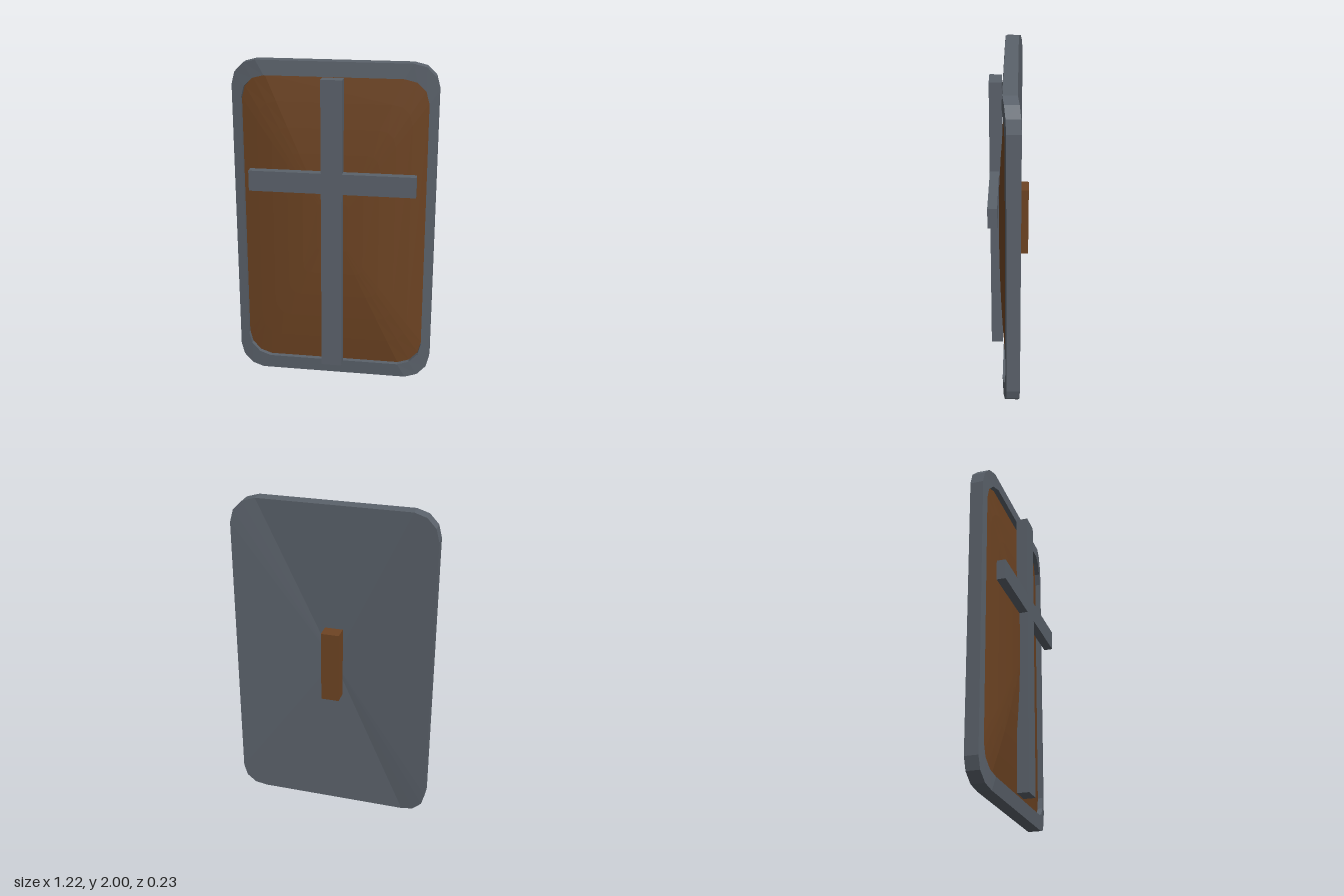
import * as THREE from 'three';

const steel = new THREE.MeshStandardMaterial({ color: 0x5b626b, flatShading: true });
const wood = new THREE.MeshStandardMaterial({ color: 0x6e4423, flatShading: true });
const MID = 1; // height of the shield's centre

// Rounded rectangle, counter-clockwise seen from the front
function outline(halfW, halfH, radius, segments = 3) {
  const points = [];
  const corners = [[1, 1], [-1, 1], [-1, -1], [1, -1]];
  corners.forEach(([sx, sy], c) => {
    for (let i = 0; i <= segments; i++) {
      const a = (c + i / segments) * Math.PI / 2;
      points.push(new THREE.Vector2(
        sx * (halfW - radius) + radius * Math.cos(a),
        sy * (halfH - radius) + radius * Math.sin(a)));
    }
  });
  return points;
}

// Ring of the outline, scaled about the centre and bent backwards towards the sides
function ring(points, z, scale = 1) {
  return points.map(p => {
    const x = p.x * scale;
    return new THREE.Vector3(x, MID + p.y * scale, z - 0.14 * x * x);
  });
}

// Skin over successive rings, leaving out triangles collapsed at a centre point
function loft(rings) {
  const pos = [];
  const tri = (a, b, c) => {
    if (a.equals(b) || b.equals(c) || c.equals(a)) return;
    for (const v of [a, b, c]) pos.push(v.x, v.y, v.z);
  };
  for (let r = 0; r < rings.length - 1; r++) {
    const a = rings[r], b = rings[r + 1];
    for (let i = 0; i < a.length; i++) {
      const j = (i + 1) % a.length;
      tri(a[i], b[i], b[j]);
      tri(a[i], b[j], a[j]);
    }
  }
  const geometry = new THREE.BufferGeometry();
  geometry.setAttribute('position', new THREE.Float32BufferAttribute(pos, 3));
  geometry.computeVertexNormals();
  return geometry;
}

export function createModel() {
  const group = new THREE.Group();
  const add = (name, geometry, material) => {
    const mesh = new THREE.Mesh(geometry, material);
    mesh.name = name;
    group.add(mesh);
  };
  // Box given by its lower and upper corner
  const addBox = (name, [x0, y0, z0], [x1, y1, z1], material) => {
    const box = new THREE.BoxGeometry(x1 - x0, y1 - y0, z1 - z0);
    add(name, box.translate((x0 + x1) / 2, (y0 + y1) / 2, (z0 + z1) / 2), material);
  };

  const outer = outline(0.61, 1, 0.15);
  const inner = outline(0.555, 0.912, 0.145);

  // Metal rim with its inner lip, outer edge and the hollow back
  add('rimAndBack', loft([
    ring(inner, 0.025), ring(inner, 0.06), ring(outer, 0.06),
    ring(outer, -0.02), ring(outer, -0.02, 0),
  ]), steel);

  // Domed wooden panel set inside the rim
  const steps = 6, panel = [];
  for (let i = 0; i <= steps; i++) {
    const s = i / steps;
    panel.push(ring(inner, 0.064 - 0.035 * s * s, s));
  }
  add('frontPanel', loft(panel), wood);

  // Crossed bars on the front
  addBox('verticalBar', [-0.063, 0.093, 0.042], [0.063, 1.91, 0.115], steel);
  addBox('crossBar', [-0.5, 1.23, 0.06], [0.5, 1.355, 0.114], steel);

  // Grip on the back
  addBox('grip', [-0.055, 0.78, -0.116], [0.055, 1.225, -0.01], wood);

  return group;
}
